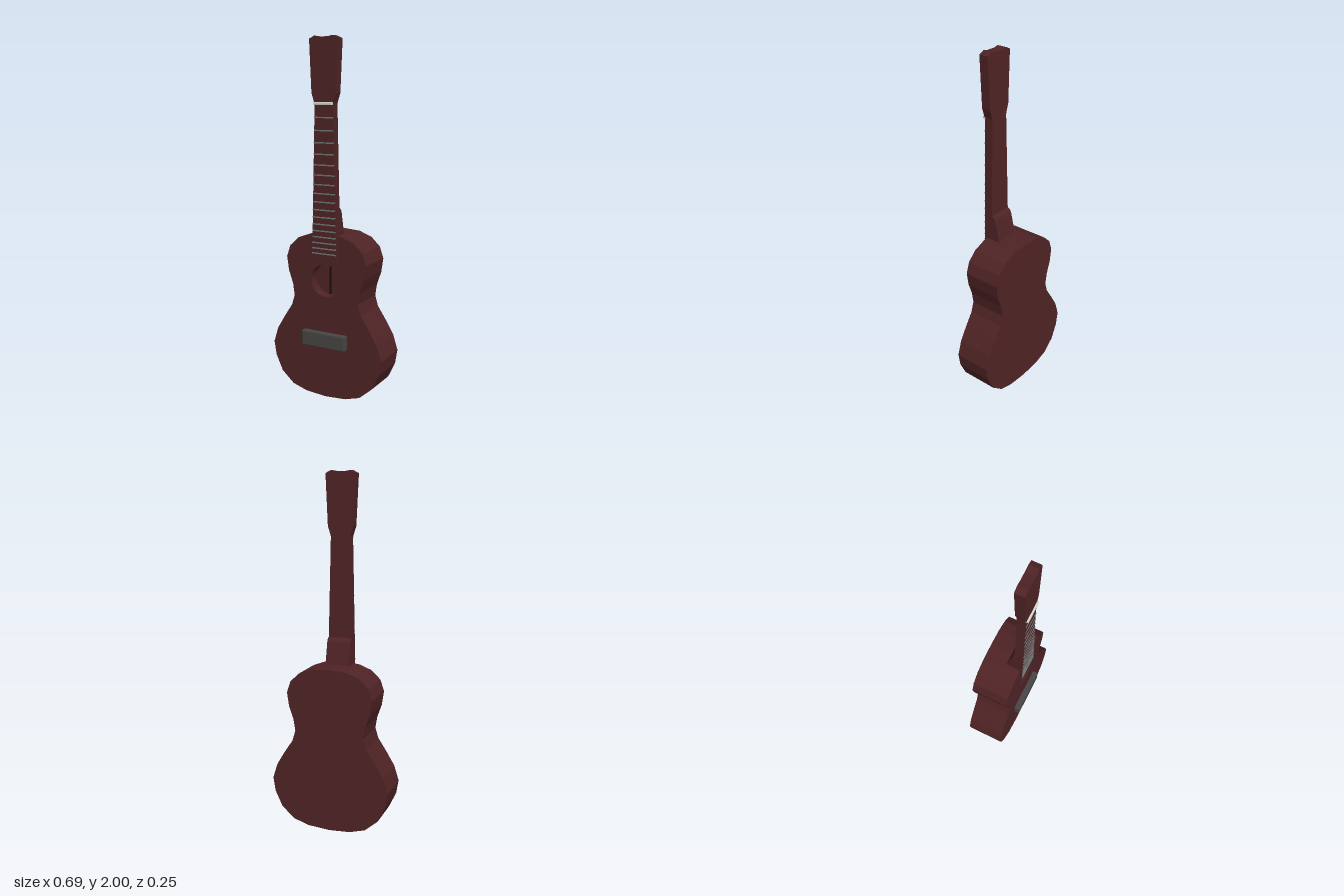
import * as THREE from 'three';
import { RoundedBoxGeometry } from 'three/addons/geometries/RoundedBoxGeometry.js';

const mat = (name, color) => Object.assign(new THREE.MeshStandardMaterial({ color }), { name });

// Closed shape from the right-hand half of a symmetric outline, listed bottom to top
function mirrored(half) {
  const pts = half.map(([x, y]) => new THREE.Vector2(x, y));
  const left = half.filter(([x]) => x > 0).reverse().map(([x, y]) => new THREE.Vector2(-x, y));
  return new THREE.Shape([...pts, ...left]);
}

export function createModel() {
  const wood = mat('mahogany', 0x4f2325);
  const shade = mat('dark seam', 0x1a0c0d);
  const ebony = mat('bridge grey', 0x484444);
  const metal = mat('fret metal', 0x6f7676);
  const bone = mat('bone', 0xd8d6cc);

  const guitar = new THREE.Group();
  guitar.name = 'guitar';
  const add = (name, geometry, material, x = 0, y = 0, z = 0) => {
    const mesh = new THREE.Mesh(geometry, material);
    mesh.name = name;
    mesh.position.set(x, y, z);
    guitar.add(mesh);
    return mesh;
  };
  const slab = (shape, depth) =>
    new THREE.ExtrudeGeometry(shape, { depth, bevelEnabled: false, curveSegments: 16 });

  // Body: solid back layer and a front layer pierced by the sound hole
  const bodyHalf = [
    [0, 0.004], [0.125, 0.013], [0.215, 0.04], [0.29, 0.105], [0.332, 0.195], [0.345, 0.275],
    [0.318, 0.36], [0.27, 0.44], [0.22, 0.515], [0.202, 0.575], [0.212, 0.64], [0.238, 0.715],
    [0.25, 0.795], [0.228, 0.86], [0.175, 0.91], [0.1, 0.938], [0, 0.945],
  ];
  add('bodyBack', slab(mirrored(bodyHalf), 0.155), wood, 0, 0, -0.125);
  const front = mirrored(bodyHalf);
  front.holes.push(new THREE.Path().absarc(0, 0.682, 0.093, 0, Math.PI * 2, true));
  add('bodyFront', slab(front, 0.06), wood, 0, 0, 0.03);
  add('soundHoleSeam', new THREE.BoxGeometry(0.012, 0.18, 0.004), shade, 0, 0.682, 0.031);

  // Fingerboard over the body, tapering neck above it
  const halfWidth = (y) => 0.076 - (y - 0.78) * 0.0235;
  const taper = (y0, y1) => mirrored([[halfWidth(y0), y0], [halfWidth(y1), y1]]);
  add('fingerboardEnd', slab(taper(0.78, 0.945), 0.017), wood, 0, 0, 0.088);
  add('neck', slab(taper(0.945, 1.65), 0.05), wood, 0, 0, 0.055);

  // Headstock with a gently scalloped top
  add('headstock', slab(mirrored([
    [0.056, 1.65], [0.06, 1.665], [0.073, 1.705], [0.086, 1.985], [0.055, 2], [0.025, 1.994], [0, 1.994],
  ]), 0.053), wood, 0, 0, 0.055);

  // Heel: side profile (z, y) extruded across the neck
  const heel = new THREE.Shape();
  heel.moveTo(0.088, 0.935);
  heel.lineTo(0.088, 1.09);
  heel.lineTo(0.055, 1.09);
  heel.quadraticCurveTo(0.034, 1.085, 0.028, 1.05);
  heel.lineTo(0.002, 0.935);
  const heelGeometry = slab(heel, 0.138);
  heelGeometry.translate(0, 0, -0.069);
  heelGeometry.rotateY(-Math.PI / 2);
  add('heel', heelGeometry, wood);

  // Frets spaced by equal temperament
  for (let i = 1; i <= 17; i++) {
    const y = 1.65 - 1.3 * (1 - 2 ** (-i / 12));
    add('fret' + i, new THREE.BoxGeometry(halfWidth(y) * 2, 0.007, 0.005), metal, 0, y, 0.1055);
  }

  // Nut and bridge
  add('nut', new RoundedBoxGeometry(0.114, 0.016, 0.016, 2, 0.003), bone, 0, 1.65, 0.109);
  add('bridge', new RoundedBoxGeometry(0.274, 0.086, 0.037, 3, 0.007), ebony, 0, 0.344, 0.1045);

  return guitar;
}
